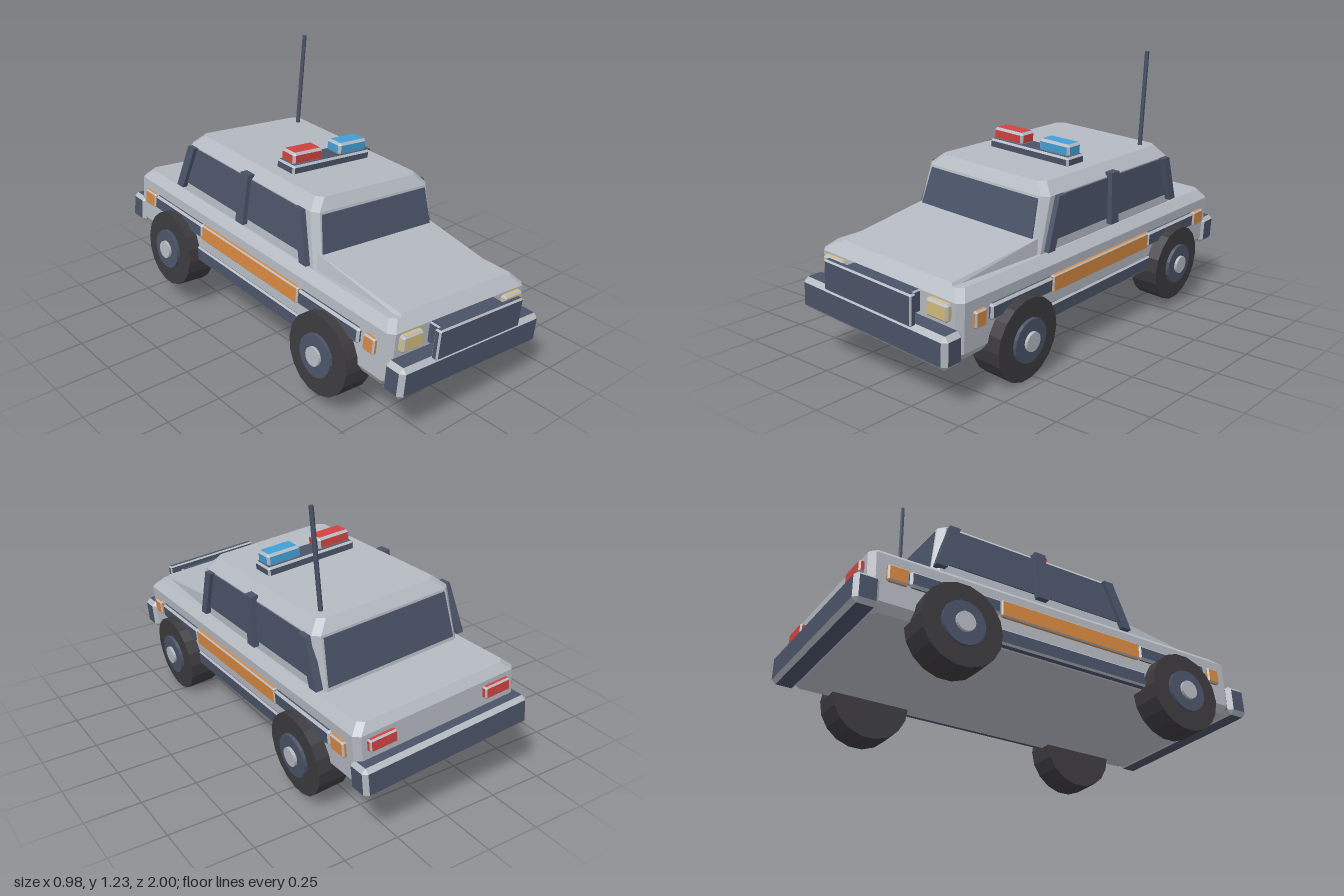
import * as THREE from 'three';
import { ConvexGeometry } from 'three/addons/geometries/ConvexGeometry.js';

const mat = (name, color) => {
  const m = new THREE.MeshStandardMaterial({ color, flatShading: true });
  m.name = name;
  return m;
};

export function createModel() {
  const paint = mat('silver paint', 0xb4b9c1);
  const navy = mat('navy trim', 0x4a5368);
  const rubber = mat('tyre rubber', 0x3c3a3d);
  const orange = mat('orange', 0xd6883f);
  const gold = mat('headlight gold', 0xd2bb7c);
  const red = mat('lamp red', 0xd0423f);
  const blue = mat('lamp blue', 0x419fd6);

  const car = new THREE.Group();
  car.name = 'car';
  const add = (name, geo, material) => {
    const m = new THREE.Mesh(geo, material);
    m.name = name;
    car.add(m);
    return m;
  };
  const V = (x, y, z) => new THREE.Vector3(x, y, z);
  const hull = (name, pts, material) => add(name, new ConvexGeometry(pts.map(p => V(...p))), material);

  // Box with coloured faces and silver chamfered edges, given by min and max per axis
  const bevelBox = (name, [x0, x1], [y0, y1], [z0, z1], b, material) => {
    const h = [(x1 - x0) / 2, (y1 - y0) / 2, (z1 - z0) / 2];
    const pts = [];
    for (const sx of [-1, 1]) for (const sy of [-1, 1]) for (const sz of [-1, 1])
      for (let a = 0; a < 3; a++) {
        const s = [sx, sy, sz];
        pts.push(V(...h.map((v, i) => s[i] * (i === a ? v : v - b))));
      }
    const geo = new ConvexGeometry(pts);
    const n = geo.attributes.normal;
    for (let i = 0; i < n.count; i += 3) {
      const flat = Math.max(Math.abs(n.getX(i)), Math.abs(n.getY(i)), Math.abs(n.getZ(i))) > 0.99;
      geo.addGroup(i, 3, flat ? 0 : 1);
    }
    const m = add(name, geo, [material, paint]);
    m.position.set((x0 + x1) / 2, (y0 + y1) / 2, (z0 + z1) / 2);
    return m;
  };

  // Rectangle ring with clipped corners: height, half width, back z, front z
  const ring = ([y, x, back, front], c) => [-1, 1].flatMap(s => [
    [s * (x - c), y, front], [s * x, y, front - c],
    [s * x, y, back + c], [s * (x - c), y, back]]);

  // Main shell, hood and cabin
  hull('body', [[0.175, 0.375, -0.9, 0.87], [0.21, 0.4, -0.93, 0.89],
    [0.42, 0.4, -0.935, 0.89], [0.458, 0.36, -0.91, 0.85]].flatMap(r => ring(r, 0.025)), paint);
  hull('hood', [-1, 1].flatMap(s => [[s * 0.345, 0.45, 0.38], [s * 0.335, 0.524, 0.36],
    [s * 0.32, 0.45, 0.86], [s * 0.31, 0.468, 0.84]]), paint);
  hull('cabin', [[0.44, 0.355, -0.645, 0.4], [0.69, 0.34, -0.61, 0.33],
    [0.738, 0.29, -0.575, 0.295]].flatMap(r => ring(r, 0.028)), paint);

  // Windshield and rear window
  const frontZ = y => 0.4 - 0.28 * (y - 0.44);
  const backZ = y => -0.645 + 0.14 * (y - 0.44);
  for (const [name, zAt, low] of [['windshield', frontZ, 0.515], ['rearWindow', backZ, 0.475]])
    hull(name, [-0.004, 0.005].flatMap(d => [-1, 1].flatMap(s => [
      [s * 0.318, low, zAt(low) + d], [s * 0.302, 0.68, zAt(0.68) + d]])), navy);

  // Prism on a cabin side: corners as [z, y], inner and outer offset from the wall
  const wallX = y => 0.355 - 0.06 * (y - 0.44);
  const onWall = (name, s, corners, inner, outer) => hull(name,
    corners.flatMap(([z, y]) => [inner, outer].map(o => [s * (wallX(y) + o), y, z])), navy);

  for (const s of [-1, 1]) {
    const side = s > 0 ? 'left' : 'right';
    const span = (a, b) => (s > 0 ? [a, b] : [-b, -a]);

    // Side glass and pillars
    onWall(side + 'SideWindow', s, [[0.31, 0.5], [0.24, 0.685], [-0.53, 0.685], [-0.59, 0.5]], -0.003, 0.005);
    onWall(side + 'FrontPillar', s, [[0.345, 0.465], [0.3, 0.465], [0.222, 0.69], [0.27, 0.69]], -0.01, 0.024);
    onWall(side + 'MiddlePillar', s, [[-0.1, 0.475], [-0.155, 0.475], [-0.155, 0.71], [-0.1, 0.71]], -0.01, 0.026);
    onWall(side + 'RearPillar', s, [[-0.59, 0.475], [-0.64, 0.475], [-0.575, 0.69], [-0.525, 0.69]], -0.01, 0.024);

    // Side strips, stripe, reflectors and sill
    const x = span(0.385, 0.417);
    bevelBox(side + 'FrontStrip', x, [0.305, 0.375], [0.35, 0.73], 0.01, navy);
    bevelBox(side + 'RearStrip', x, [0.305, 0.375], [-0.77, -0.36], 0.01, navy);
    bevelBox(side + 'Stripe', x, [0.302, 0.378], [-0.36, 0.35], 0.006, orange);
    bevelBox(side + 'FrontReflector', x, [0.302, 0.374], [0.755, 0.82], 0.007, orange);
    bevelBox(side + 'RearReflector', x, [0.302, 0.374], [-0.865, -0.775], 0.007, orange);
    bevelBox(side + 'Sill', span(0.37, 0.41), [0.18, 0.25], [-0.42, 0.38], 0.008, navy);

    // Headlights and tail lights
    bevelBox(side + 'Headlight', span(0.24, 0.355), [0.338, 0.412], [0.87, 0.915], 0.009, gold);
    bevelBox(side + 'TailLight', span(0.22, 0.35), [0.345, 0.4], [-0.955, -0.92], 0.007, red);

    // Wheels: tyre, rim and cap
    for (const [end, z] of [['Front', 0.555], ['Rear', -0.565]])
      for (const [part, r, from, to, m] of [['Tyre', 0.18, 0.325, 0.46, rubber],
        ['Rim', 0.095, 0.45, 0.475, navy], ['Cap', 0.042, 0.46, 0.488, paint]]) {
        const w = add(side + end + part, new THREE.CylinderGeometry(r, r, to - from, 18), m);
        w.rotation.z = Math.PI / 2;
        w.position.set(s * (from + to) / 2, 0.18, z);
      }
  }

  // Bumpers and grille
  bevelBox('frontBumper', [-0.412, 0.412], [0.178, 0.318], [0.875, 0.982], 0.02, navy);
  bevelBox('rearBumper', [-0.412, 0.412], [0.178, 0.31], [-0.993, -0.885], 0.018, navy);
  bevelBox('grille', [-0.248, 0.248], [0.314, 0.447], [0.965, 0.997], 0.007, navy);
  bevelBox('grilleMount', [-0.19, 0.19], [0.325, 0.42], [0.87, 0.97], 0.006, navy);

  // Roof light bar
  bevelBox('lightBarBase', [-0.225, 0.225], [0.73, 0.775], [-0.08, 0.04], 0.009, navy);
  bevelBox('redLamp', [-0.215, -0.048], [0.77, 0.828], [-0.066, 0.026], 0.011, red);
  bevelBox('blueLamp', [0.048, 0.215], [0.77, 0.828], [-0.066, 0.026], 0.011, blue);

  // Antenna
  add('antenna', new THREE.CylinderGeometry(0.01, 0.01, 0.455, 6), navy).position.set(0.24, 0.955, -0.505);

  // Slight lean of the whole car
  car.rotation.set(0.033, 0, -0.08);
  car.position.set(-0.02, 0.053, -0.01);
  const model = new THREE.Group();
  model.add(car);
  return model;
}
